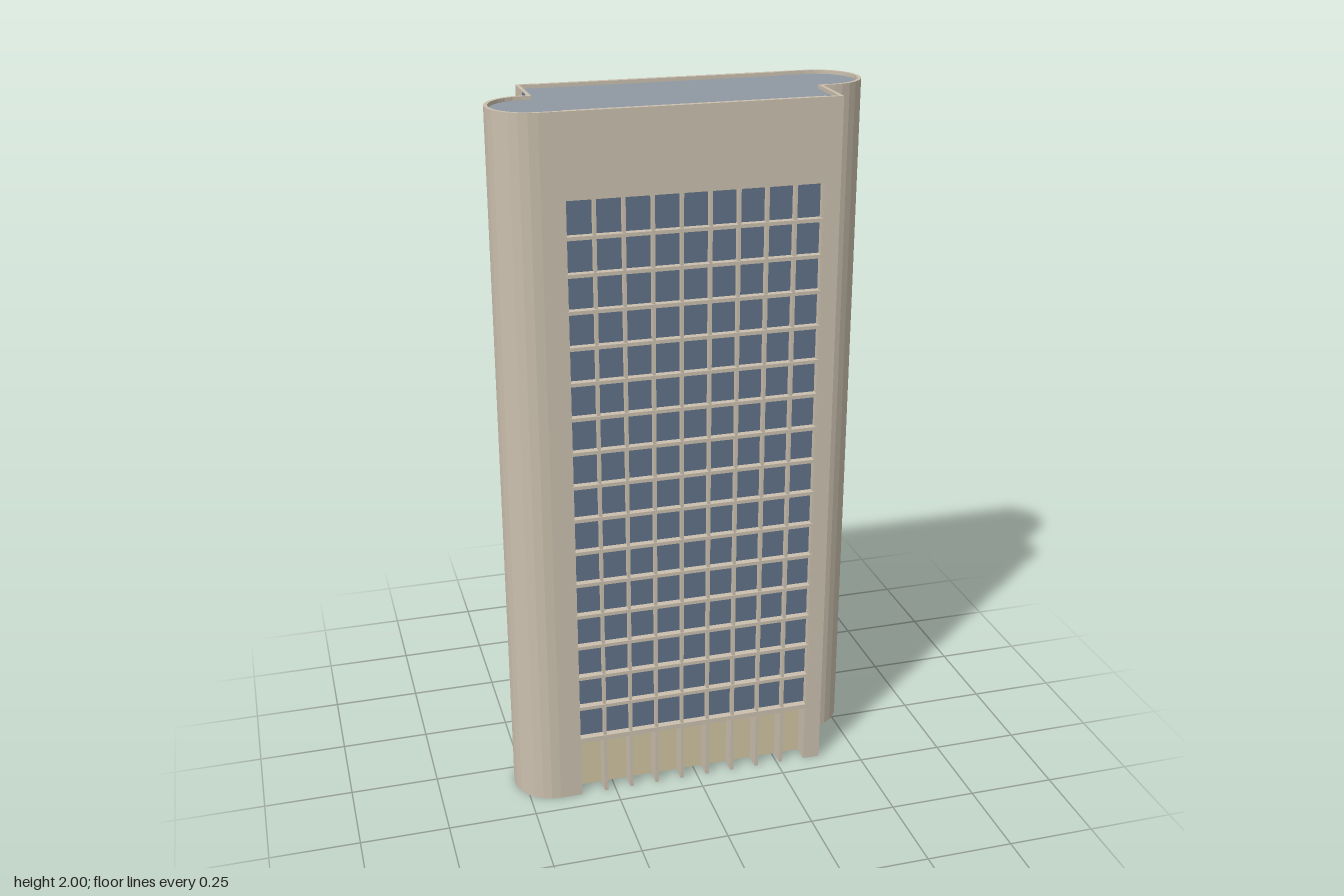
import * as THREE from 'three';

const mat = (name, color) => Object.assign(new THREE.MeshStandardMaterial({ color }), { name });

export function createModel() {
  const stone = mat('stone', 0xcbc0ae);
  const glass = mat('blue glass', 0x62738a);
  const roofGrey = mat('roof grey', 0x8f99a2);
  const tan = mat('lobby tan', 0xd0c5a3);

  const H = 2, D = 0.193;           // height, half depth
  const HALF = 0.392, BAY = 0.3475; // half width of the slab and of the window bay
  const R = 0.115, T = 0.01;        // end cylinder radius, wall thickness
  const Y0 = 0.19, Y1 = 1.775;      // window grid bottom and top
  const COLS = 9, ROWS = 16;

  const model = new THREE.Group();
  model.name = 'tower';
  const body = new THREE.Group();
  body.name = 'body';
  body.position.x = -0.0075;
  model.add(body);

  const add = (parent, name, geometry, material) => {
    const mesh = new THREE.Mesh(geometry, material);
    mesh.name = name;
    parent.add(mesh);
    return mesh;
  };
  // box given by its limits on each axis
  const box = (parent, name, material, [x0, x1], [y0, y1], [z0, z1]) => {
    const mesh = add(parent, name, new THREE.BoxGeometry(x1 - x0, y1 - y0, z1 - z0), material);
    mesh.position.set((x0 + x1) / 2, (y0 + y1) / 2, (z0 + z1) / 2);
    return mesh;
  };

  // plan of one end, from front bay edge round the cylinder to back bay edge, inset by d
  const endPath = (cx, d) => {
    const pts = [[-BAY, D - d]];
    for (let i = 0; i <= 14; i++) {
      const a = Math.PI * (0.5 + i / 14);
      pts.push([-cx + (R - d) * Math.cos(a), D - R + (R - d) * Math.sin(a)]);
    }
    pts.push([-HALF + d, D - 2 * R + d], [-HALF + d, -D + d], [-BAY, -D + d]);
    return pts;
  };
  // upright prism over a plan of [x, z] points
  const prism = (pts, y0, y1) => {
    const shape = new THREE.Shape(pts.map(([x, z]) => new THREE.Vector2(x, -z)));
    return new THREE.ExtrudeGeometry(shape, { depth: y1 - y0, bevelEnabled: false })
      .rotateX(-Math.PI / 2).translate(0, y0, 0);
  };

  // roof and lobby ceiling follow the whole plan, inside the walls
  const CX = [0.4075, 0.4225];
  const plan = [
    ...endPath(CX[0], T / 2),
    ...endPath(CX[1], T / 2).map(([x, z]) => [-x, -z]),
  ];
  add(body, 'roof', prism(plan, H - 0.03, H - 0.01), roofGrey);
  const ceilingPlan = plan.map(([x, z]) => [x, THREE.MathUtils.clamp(z, -D + 0.025, D - 0.025)]);
  add(body, 'lobbyCeiling', prism(ceilingPlan, 0.178, Y0), stone);

  // each half holds one end and one facade; the second is the first turned half round
  CX.forEach((cx, side) => {
    const half = new THREE.Group();
    half.name = side ? 'backHalf' : 'frontHalf';
    half.rotation.y = side * Math.PI;
    body.add(half);

    // end wall with rounded tower and slit window
    add(half, 'endWall', prism([...endPath(cx, 0), ...endPath(cx, T).reverse()], 0, H), stone);
    box(half, 'slitWindow', glass, [-HALF - 0.002, -HALF + 0.004], [Y0, H - 0.001], [-0.085, -0.055]);
    box(half, 'lobbyEndWall', stone, [-BAY - 0.008, -BAY], [0, 0.18], [-D + 0.004, D - 0.004]);

    // solid parts of the facade
    box(half, 'topSpandrel', stone, [-BAY, BAY], [Y1, H], [D - 0.015, D]);
    box(half, 'lobbyLintel', stone, [-BAY, BAY], [0.175, Y0], [D - 0.055, D]);
    box(half, 'lobbyWall', tan, [-BAY, BAY], [0, 0.175], [D - 0.055, D - 0.05]);
    box(half, 'windowGlass', glass, [-BAY, BAY], [Y0, Y1], [D - 0.026, D - 0.02]);

    // mullions above, fins at the lobby
    for (let i = 0; i <= COLS; i++) {
      const x = -BAY + (2 * BAY * i) / COLS;
      box(half, 'mullion', stone, [x - 0.004, x + 0.004], [Y0, Y1], [D - 0.021, D - 0.002]);
      box(half, 'lobbyFin', stone, [x - 0.005, x + 0.005], [0, 0.176], [D - 0.051, D - 0.001]);
    }
    // floor bands
    for (let j = 1; j < ROWS; j++) {
      const y = Y0 + ((Y1 - Y0) * j) / ROWS;
      box(half, 'floorBand', stone, [-BAY, BAY], [y - 0.005, y + 0.005], [D - 0.021, D]);
    }
  });

  return model;
}
